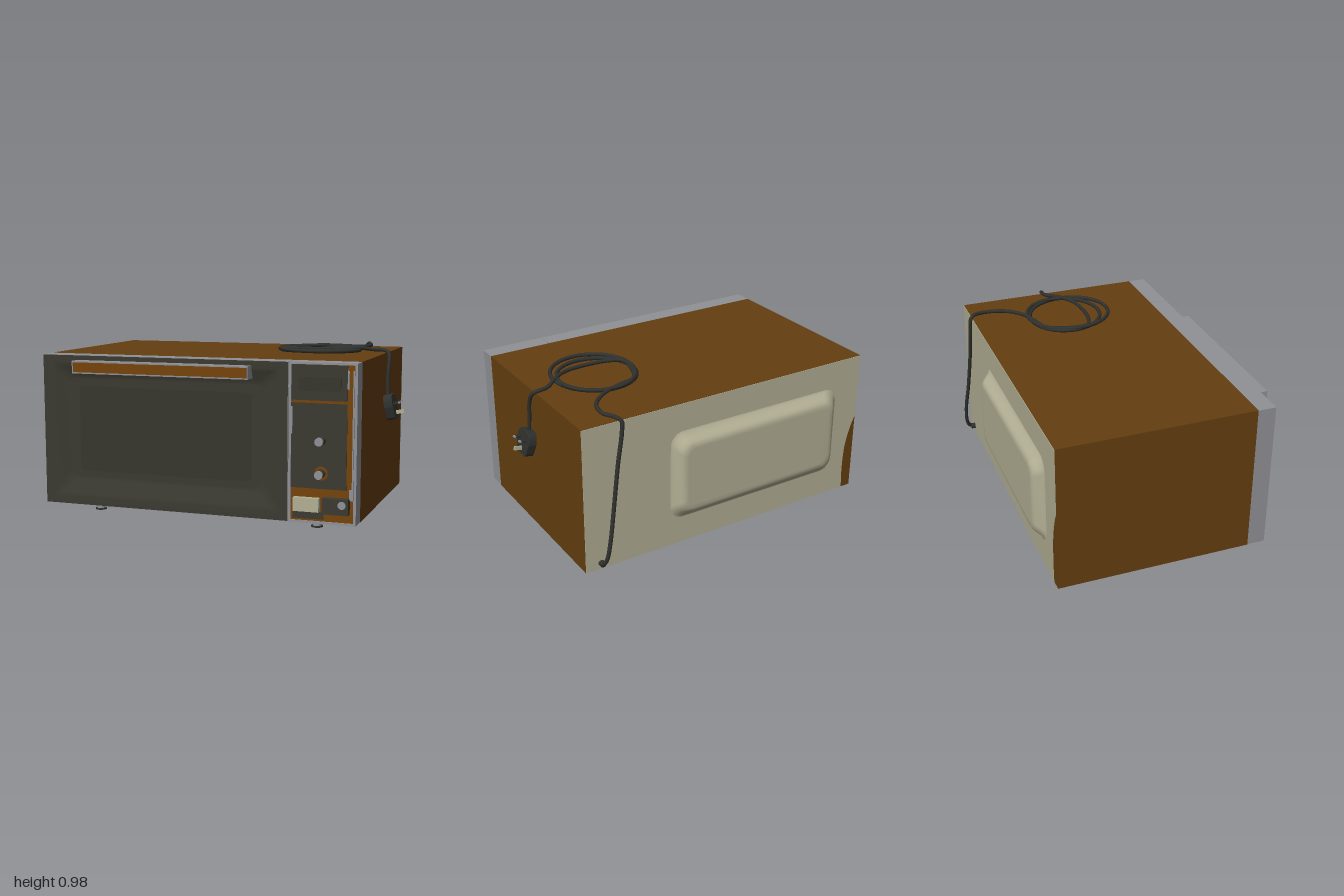
import * as THREE from 'three';

const mat = (name, color, side = THREE.FrontSide) => {
  const m = new THREE.MeshStandardMaterial({ color, side });
  m.name = name;
  return m;
};

export function createModel() {
  const brown = mat('brown casing', 0x643e10);
  const trim = mat('brown trim', 0x75440c);
  const dark = mat('dark front', 0x3b3a31);
  const pane = mat('dark window', 0x36352d);
  const grey = mat('grey metal', 0x909196);
  const cream = mat('cream panel', 0xb2af94);
  const black = mat('black rubber', 0x2f312e);

  const model = new THREE.Group();
  model.name = 'microwaveOven';
  const add = (name, geo, material, parent = model) => {
    const mesh = new THREE.Mesh(geo, material);
    mesh.name = name;
    parent.add(mesh);
    return mesh;
  };
  // box given by its limits
  const box = (name, x0, x1, y0, y1, z0, z1, material) => {
    const mesh = add(name, new THREE.BoxGeometry(x1 - x0, y1 - y0, z1 - z0), material);
    mesh.position.set((x0 + x1) / 2, (y0 + y1) / 2, (z0 + z1) / 2);
    return mesh;
  };
  // rounded rectangle as a loop of points, counter-clockwise
  const loop = (x0, x1, y0, y1, r) => {
    const pts = [];
    const corners = [[x1 - r, y0 + r, -90], [x1 - r, y1 - r, 0], [x0 + r, y1 - r, 90], [x0 + r, y0 + r, 180]];
    for (const [cx, cy, a] of corners) {
      for (let i = 0; i <= 6; i++) {
        const t = THREE.MathUtils.degToRad(a + i * 15);
        pts.push(new THREE.Vector2(cx + r * Math.cos(t), cy + r * Math.sin(t)));
      }
    }
    return pts;
  };
  // surface through nested loops [x0, x1, y0, y1, r, z], closed by a flat cap, facing +z
  const pressing = (rings) => {
    const pos = [], idx = [], n = 28;
    rings.forEach(([x0, x1, y0, y1, r, z]) => loop(x0, x1, y0, y1, r).forEach((p) => pos.push(p.x, p.y, z)));
    for (let k = 0; k < rings.length - 1; k++) {
      for (let i = 0; i < n; i++) {
        const a = k * n + i, b = k * n + (i + 1) % n;
        idx.push(a, b, b + n, a, b + n, a + n);
      }
    }
    const last = (rings.length - 1) * n;
    for (let i = 1; i < n - 1; i++) idx.push(last, last + i, last + i + 1);
    const g = new THREE.BufferGeometry();
    g.setAttribute('position', new THREE.Float32BufferAttribute(pos, 3));
    g.setIndex(idx);
    g.computeVertexNormals();
    return g;
  };
  // frame with a rectangular opening
  const frame = (outer, inner, depth) => {
    const s = new THREE.Shape(loop(...outer));
    s.holes.push(new THREE.Path(loop(...inner)));
    return new THREE.ExtrudeGeometry(s, { depth, bevelEnabled: false });
  };

  // casing
  box('casing', -1, 0.87, 0.06, 0.94, -0.62, 0.515, brown);

  // door with a dished front and a window
  const door = add('doorFrame', frame([-1, 0.488, 0.062, 0.94, 0.001], [-0.93, 0.43, 0.12, 0.89, 0.03], 0.105), grey);
  door.position.z = 0.515;
  add('doorFront', pressing([
    [-0.998, 0.486, 0.064, 0.938, 0.001, 0.6215],
    [-0.94, 0.44, 0.11, 0.9, 0.02, 0.6215],
    [-0.92, 0.42, 0.13, 0.88, 0.03, 0.619],
    [-0.85, 0.35, 0.21, 0.82, 0.04, 0.596],
    [-0.83, 0.33, 0.225, 0.8, 0.04, 0.594],
  ]), dark);
  const win = add('doorWindow', new THREE.ExtrudeGeometry(
    new THREE.Shape(loop(-0.78, 0.275, 0.262, 0.76, 0.03)), { depth: 0.004, bevelEnabled: false }), pane);
  win.position.z = 0.593;

  // handle
  box('handle', -0.78, 0.28, 0.84, 0.912, 0.59, 0.686, grey);
  box('handleFace', -0.772, 0.272, 0.848, 0.904, 0.684, 0.689, trim);

  // control panel
  const panel = add('panelFrame', frame([0.491, 0.87, 0.062, 0.94, 0.001], [0.505, 0.855, 0.075, 0.928, 0.004], 0.106), grey);
  panel.position.z = 0.515;
  box('panelBack', 0.5, 0.86, 0.07, 0.935, 0.515, 0.614, trim);
  box('displayPlate', 0.505, 0.815, 0.735, 0.927, 0.613, 0.619, dark);
  box('display', 0.545, 0.78, 0.785, 0.86, 0.618, 0.622, pane);
  box('knobPlate', 0.505, 0.815, 0.255, 0.72, 0.613, 0.619, dark);
  box('lowerPlate', 0.515, 0.69, 0.085, 0.125, 0.613, 0.616, dark);
  for (const [x0, x1, y0, y1] of [[0.505, 0.512, 0.55, 0.7], [0.815, 0.825, 0.8, 0.9], [0.83, 0.853, 0.2, 0.26], [0.845, 0.853, 0.26, 0.9]]) {
    box('panelSliver', x0, x1, y0, y1, 0.613, 0.62, grey);
  }
  box('lightButton', 0.525, 0.67, 0.13, 0.205, 0.61, 0.65, cream);
  box('darkButton', 0.69, 0.835, 0.125, 0.212, 0.61, 0.658, dark);
  const dot = add('buttonMark', new THREE.CylinderGeometry(0.022, 0.022, 0.004, 20).rotateX(Math.PI / 2), grey);
  dot.position.set(0.8, 0.18, 0.658);

  // knobs
  for (const y of [0.52, 0.34]) {
    const rod = (name, r, z0, z1, m) => {
      const k = add(name, new THREE.CylinderGeometry(r, r, z1 - z0, 24).rotateX(Math.PI / 2), m);
      k.position.set(0.675, y, (z0 + z1) / 2);
    };
    if (y < 0.4) rod('knobRing', 0.038, 0.617, 0.621, trim);
    rod('knob', 0.025, 0.615, 0.665, dark);
    rod('knobCap', 0.023, 0.665, 0.681, grey);
  }

  // rear panel, cut away at one lower corner
  const rear = new THREE.Shape();
  rear.moveTo(0.87, 0.062);
  rear.lineTo(0.87, 0.938);
  rear.lineTo(-0.998, 0.938);
  rear.lineTo(-0.998, 0.54);
  rear.quadraticCurveTo(-0.955, 0.46, -0.935, 0.34);
  rear.quadraticCurveTo(-0.922, 0.2, -0.935, 0.062);
  const rearPanel = add('rearPanel', new THREE.ExtrudeGeometry(rear, { depth: 0.004, bevelEnabled: false }), cream);
  rearPanel.position.z = -0.623;
  // raised rear housing with rounded shoulders (turned to face backwards)
  add('rearHousing', pressing([
    [-0.33, 0.83, 0.225, 0.775, 0.08, 0.622],
    [-0.315, 0.815, 0.24, 0.76, 0.08, 0.628],
    [-0.295, 0.795, 0.265, 0.735, 0.075, 0.655],
    [-0.28, 0.78, 0.28, 0.72, 0.07, 0.672],
    [-0.262, 0.762, 0.298, 0.702, 0.06, 0.681],
    [-0.24, 0.74, 0.32, 0.68, 0.05, 0.682],
  ]), cream).rotation.y = Math.PI;

  // feet
  for (const x of [-0.735, 0.608]) {
    for (const z of [0.44, -0.49]) {
      const foot = add('foot', new THREE.CylinderGeometry(0.024, 0.024, 0.058, 24), grey);
      foot.position.set(x, 0.035, z);
      const pad = add('footPad', new THREE.CylinderGeometry(0.033, 0.033, 0.008, 24), black);
      pad.position.set(x, 0.004, z);
    }
  }

  // power cord: up the back, coiled on top, then over the side
  const path = [
    [0.775, 0.1, -0.625], [0.777, 0.108, -0.655], [0.765, 0.15, -0.675], [0.745, 0.26, -0.68], [0.71, 0.45, -0.662],
    [0.67, 0.7, -0.645], [0.64, 0.88, -0.64], [0.638, 0.94, -0.636], [0.658, 0.958, -0.61],
    [0.69, 0.953, -0.52], [0.665, 0.953, -0.41], [0.57, 0.96, -0.325], [0.46, 0.965, -0.285],
  ];
  for (let i = 0; i <= 23; i++) {
    const t = 0.75 + i * 0.55;
    const r = 0.238 + 0.018 * Math.sin(t * 0.43 + 1);
    path.push([0.49 + 0.02 * Math.cos(t * 0.4) - r * Math.sin(t), 0.953 + 0.012 * (1 + Math.sin(t * 0.7)) / 2,
      -0.06 + 0.015 * Math.sin(t * 0.5) - r * Math.cos(t)]);
  }
  path.push([0.265, 0.965, 0.0], [0.33, 0.967, 0.035], [0.47, 0.967, 0.052], [0.62, 0.97, 0.03], [0.72, 0.972, -0.035],
    [0.8, 0.96, -0.095], [0.86, 0.957, -0.105], [0.89, 0.94, -0.09], [0.897, 0.87, -0.06], [0.895, 0.79, -0.047], [0.9, 0.69, -0.04]);
  const curve = new THREE.CatmullRomCurve3(path.map((p) => new THREE.Vector3(...p)));
  add('cord', new THREE.TubeGeometry(curve, 420, 0.0115, 8), black);
  const grommet = add('cordGrommet', new THREE.CylinderGeometry(0.018, 0.018, 0.03, 16).rotateX(Math.PI / 2), black);
  grommet.position.set(0.775, 0.1, -0.632);

  // plug with three pins
  const plug = new THREE.Group();
  plug.name = 'plug';
  plug.position.set(0.918, 0.635, -0.04);
  plug.rotation.z = 0.2;
  model.add(plug);
  const outline = new THREE.Shape();
  outline.moveTo(-0.04, -0.073);
  outline.lineTo(0.04, -0.073);
  outline.quadraticCurveTo(0.052, -0.07, 0.056, -0.055);
  outline.lineTo(0.07, 0.0);
  outline.quadraticCurveTo(0.07, 0.062, 0.03, 0.068);
  outline.lineTo(-0.03, 0.068);
  outline.quadraticCurveTo(-0.07, 0.062, -0.07, 0.0);
  outline.lineTo(-0.056, -0.055);
  outline.quadraticCurveTo(-0.052, -0.07, -0.04, -0.073);
  add('plugBody', new THREE.ExtrudeGeometry(outline, { depth: 0.042, bevelEnabled: true, bevelSize: 0.003,
    bevelThickness: 0.005, bevelSegments: 2 }).translate(0, 0, -0.021).rotateY(Math.PI / 2), black, plug);
  for (const z of [-0.036, 0.036]) {
    add('pinSleeve', new THREE.BoxGeometry(0.03, 0.01, 0.022).translate(0.04, 0.016, z), black, plug);
    add('pin', new THREE.BoxGeometry(0.014, 0.009, 0.02).translate(0.06, 0.016, z), grey, plug);
  }
  add('earthPin', new THREE.BoxGeometry(0.052, 0.022, 0.01).translate(0.047, -0.04, 0), cream, plug);

  return model;
}
